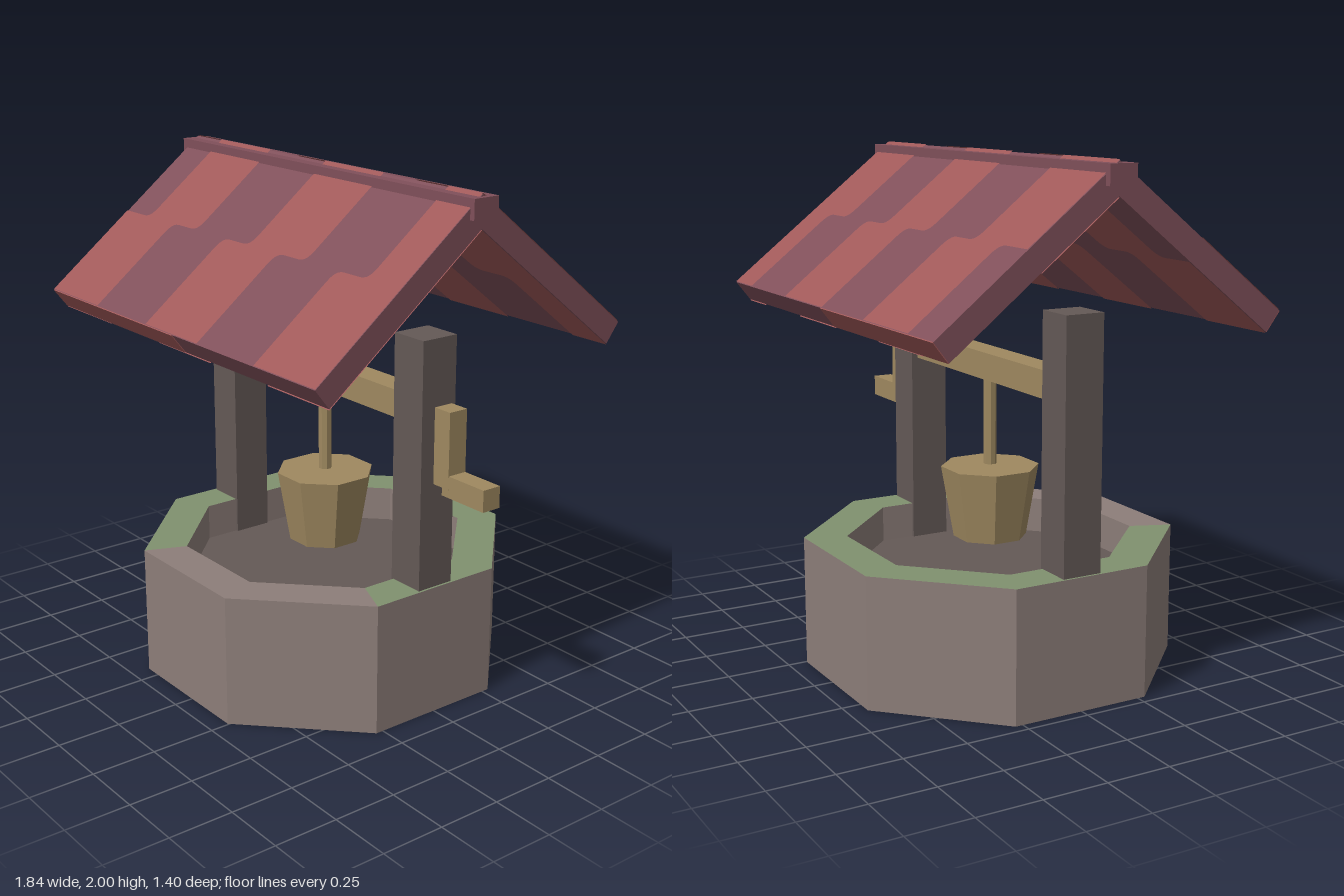
import * as THREE from 'three';

const CX = -0.035;                      // axis of the well
const LEFT = -0.895, RIGHT = 0.825;     // roof ends
const APEX = 2, SLOPE = 0.785, EAVE = 0.7, INSET = 0.057, DROP = 0.118;
const APOTHEM = 1 / Math.cos(Math.PI / 8); // flat-to-corner factor of an octagon

const mat = (name, color) => {
  const m = new THREE.MeshStandardMaterial({ color });
  m.name = name;
  return m;
};

function flat(geo) {
  const g = geo.index ? geo.toNonIndexed() : geo;
  g.computeVertexNormals();
  return g;
}

// Shape from [x, v, round] corners, rounding the marked ones
function roundedShape(corners, r = 0.04) {
  const shape = new THREE.Shape();
  const n = corners.length;
  const toward = (a, b) => {
    const d = Math.hypot(b[0] - a[0], b[1] - a[1]);
    return [a[0] + (b[0] - a[0]) * r / d, a[1] + (b[1] - a[1]) * r / d];
  };
  corners.forEach((c, i) => {
    const draw = (p) => (i === 0 ? shape.moveTo(...p) : shape.lineTo(...p));
    if (!c[2]) return draw([c[0], c[1]]);
    draw(toward(c, corners[(i + n - 1) % n]));
    const out = toward(c, corners[(i + 1) % n]);
    shape.quadraticCurveTo(c[0], c[1], out[0], out[1]);
  });
  shape.closePath();
  return shape;
}

// S-shaped tile patch: upper row u0..u1, lower row l0..l1
function patchShape(u0, u1, l0, l1, a, mid, b) {
  const c = [[u0, a], [u1, a]];
  if (u1 === l1) c.push([l1, b]);
  else c.push([u1, mid, 1], [l1, mid, 1], [l1, b]);
  c.push([l0, b], [l0, mid, l0 > LEFT], [u0, mid, 1]);
  return roundedShape(c);
}

export function createModel() {
  const model = new THREE.Group();
  model.name = 'well';

  const stone = mat('stone', 0x8d7e79);
  const darkStone = mat('dark stone', 0x645956);
  const moss = mat('moss', 0x80916f);
  const wood = mat('wood', 0x9f8960);
  const plum = mat('plum roof', 0x80505a);
  const red = mat('red roof', 0xa05959);
  red.side = THREE.DoubleSide;

  const add = (name, geo, material, x = 0, y = 0, z = 0) => {
    const mesh = new THREE.Mesh(geo, material);
    mesh.name = name;
    mesh.position.set(x, y, z);
    model.add(mesh);
    return mesh;
  };
  // Box given by its limits, centred on z = 0
  const box = (name, material, x0, x1, y0, y1, depth) =>
    add(name, new THREE.BoxGeometry(x1 - x0, y1 - y0, depth), material, (x0 + x1) / 2, (y0 + y1) / 2);
  // Octagonal band; radii are measured to the flats
  const octagon = (name, material, pts, first = 0, count = 8) =>
    add(name, flat(new THREE.LatheGeometry(
      pts.map(([r, y]) => new THREE.Vector2(r * APOTHEM, y)),
      count, -Math.PI / 8 + first * Math.PI / 4, count * Math.PI / 4)), material, CX);

  // Stone basin: outer wall, inner wall, floor and partly mossy rim
  const R = 0.675, r = 0.52, top = 0.513, floor = 0.37;
  octagon('basinOuterWall', stone, [[0, 0], [R, 0], [R, top]]);
  octagon('basinInnerWall', stone, [[r, top], [r, floor]]);
  octagon('basinFloor', darkStone, [[r, floor], [0, floor]]);
  octagon('stoneRim', stone, [[R, top], [r, top]], 0, 2);
  octagon('mossyRim', moss, [[R, top], [r, top]], 2, 6);

  // Posts, axle and crank
  for (const [name, s] of [['rightPost', -1], ['leftPost', 1]]) {
    const x = CX + s * 0.588;
    box(name, darkStone, x - 0.078, x + 0.078, 0.002, 1.465, 0.156);
  }
  box('axle', wood, -0.545, 0.475, 1.135, 1.24, 0.105);
  box('crankArm', wood, 0.655, 0.735, 0.933, 1.222, 0.08);
  box('crankHandle', wood, 0.7, 0.915, 0.903, 0.985, 0.078);

  // Rope and bucket
  const tube = (name, rTop, rBottom, y0, y1) =>
    add(name, flat(new THREE.CylinderGeometry(rTop * APOTHEM, rBottom * APOTHEM, y1 - y0, 8, 1, false, Math.PI / 8)),
      wood, CX, (y0 + y1) / 2);
  tube('rope', 0.024, 0.024, 0.79, 1.14);
  tube('bucket', 0.178, 0.133, 0.5, 0.783);

  // Roof: one chevron slab plus ridge beam
  const eaveY = APEX - SLOPE * EAVE, lowZ = EAVE - INSET, lowY = eaveY - 0.073;
  const chevron = new THREE.Shape([
    [EAVE, eaveY], [0, APEX], [-EAVE, eaveY], [-lowZ, lowY], [0, APEX - DROP], [lowZ, lowY],
  ].map(([z, y]) => new THREE.Vector2(z, y)));
  const slab = new THREE.ExtrudeGeometry(chevron, { depth: RIGHT - LEFT, bevelEnabled: false });
  slab.rotateY(Math.PI / 2);
  add('roofSlab', slab, plum, LEFT);
  box('ridgeBeam', plum, -0.92, 0.845, 1.918, 1.992, 0.11);

  // Red tile patches laid on both faces of each slope
  const patches = [
    [-0.72, -0.38, LEFT, -0.55],
    [-0.03, 0.31, -0.2, 0.14],
    [0.655, RIGHT, 0.485, RIGHT],
  ];
  const rows = { front: [0, 0.35, EAVE], back: [-EAVE, -0.355, 0] };
  for (const side of ['front', 'back']) {
    for (const under of [false, true]) {
      for (const p of patches) {
        const geo = new THREE.ShapeGeometry(patchShape(...p, ...rows[side]), 5);
        const pos = geo.attributes.position;
        for (let i = 0; i < pos.count; i++) {
          const v = pos.getY(i);
          const z = under ? Math.max(Math.abs(v) - INSET, 0) : Math.abs(v);
          const y = APEX - SLOPE * z + (under ? -DROP - 0.004 : 0.004);
          pos.setXYZ(i, pos.getX(i), y, Math.sign(v) * z);
        }
        // Turn the faces so that they look away from the slab
        if (!under) geo.index.array.reverse();
        geo.computeVertexNormals();
        add(side + (under ? 'UndersidePatch' : 'TilePatch'), geo, red);
      }
    }
  }

  // Red half of each eave edge
  for (const s of [1, -1]) {
    const eave = new THREE.BoxGeometry(0.875, 0.092, 0.004);
    const mesh = add(s > 0 ? 'frontEaveEdge' : 'backEaveEdge', eave, red,
      LEFT + 0.4375, (eaveY + lowY) / 2, s * ((EAVE + lowZ) / 2 + 0.001));
    mesh.rotation.x = s * Math.atan2(INSET, 0.073);
  }

  return model;
}
